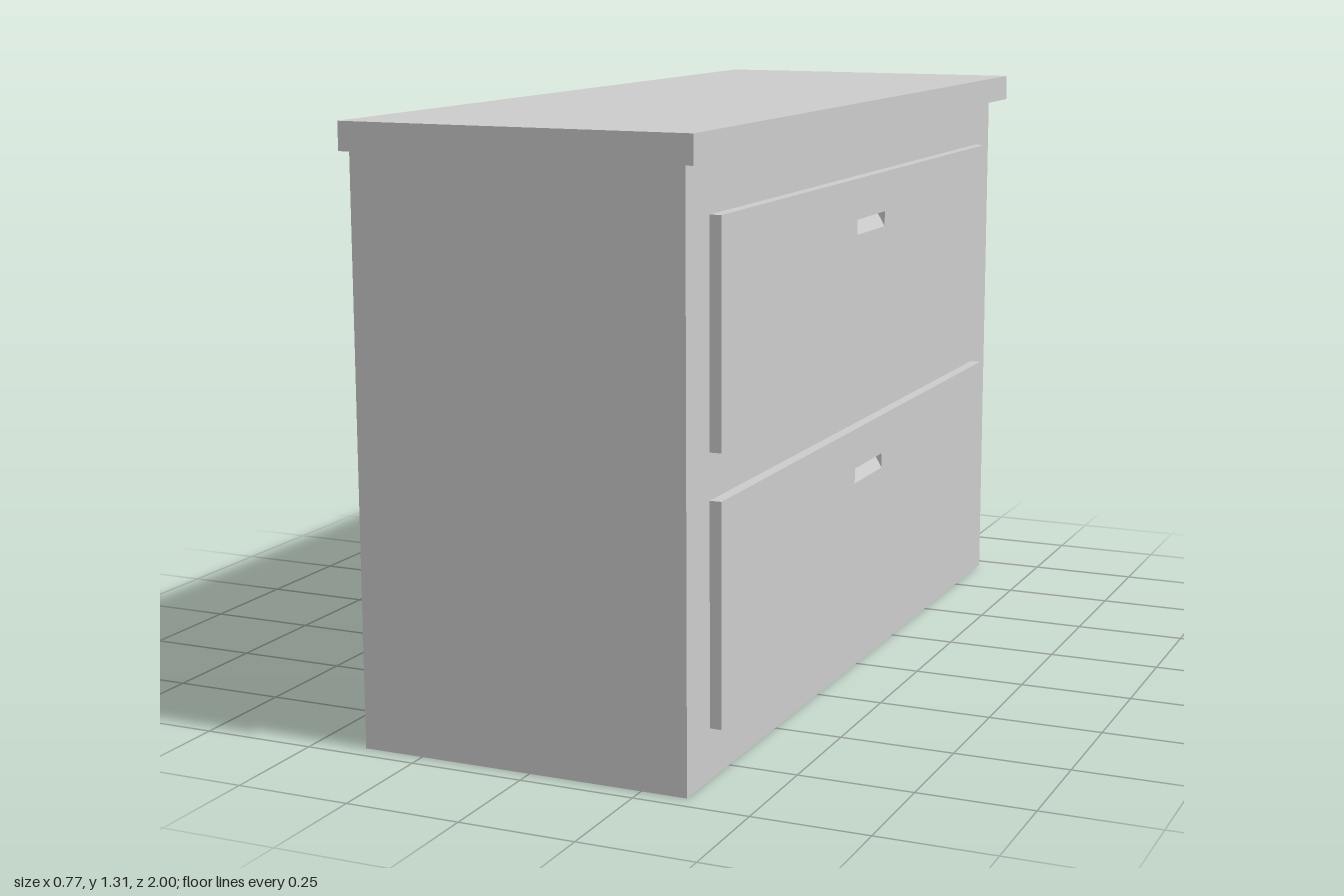
import * as THREE from 'three';

const paint = new THREE.MeshStandardMaterial({ color: 0xcccccc, side: THREE.DoubleSide });
paint.name = 'light grey';

function add(parent, name, geometry) {
  const mesh = new THREE.Mesh(geometry, paint);
  mesh.name = name;
  parent.add(mesh);
  return mesh;
}

// box given by its lower and upper limits
function box(x0, x1, y0, y1, z0, z1) {
  return new THREE.BoxGeometry(x1 - x0, y1 - y0, z1 - z0)
    .translate((x0 + x1) / 2, (y0 + y1) / 2, (z0 + z1) / 2);
}

function rectangle(PathType, w0, w1, h0, h1) {
  const path = new PathType();
  path.moveTo(w0, h0);
  path.lineTo(w1, h0);
  path.lineTo(w1, h1);
  path.lineTo(w0, h1);
  path.closePath();
  return path;
}

const BACK = -0.385, FACE = 0.35, FRONT = 0.375;

// drawer whose front panel has a shallow sloping finger pull; origin at its bottom edge
function makeDrawer(name, y) {
  const drawer = new THREE.Group();
  drawer.name = name;
  const height = 0.468, half = 0.848, pull = 0.09, low = 0.343, high = 0.377;

  // front panel with an opening for the pull
  const shape = rectangle(THREE.Shape, -half, half, 0, height);
  shape.holes.push(rectangle(THREE.Path, -pull, pull, low, high));
  const panel = new THREE.ExtrudeGeometry(shape, { depth: FRONT - FACE, bevelEnabled: false });
  add(drawer, 'drawerFront', panel.rotateY(Math.PI / 2).translate(FACE, 0, 0));

  // sloping floor of the pull
  const wedge = new THREE.Shape([
    new THREE.Vector2(FACE, low),
    new THREE.Vector2(FRONT, low),
    new THREE.Vector2(FACE + 0.005, high),
    new THREE.Vector2(FACE, high),
  ]);
  const slope = new THREE.ExtrudeGeometry(wedge, { depth: 2 * pull, bevelEnabled: false });
  add(drawer, 'fingerPull', slope.translate(0, 0, -pull));

  // drawer box running back into the cabinet
  add(drawer, 'drawerBox', box(BACK + 0.005, FACE + 0.001, 0, height, -half, half));

  drawer.position.y = y;
  return drawer;
}

export function createModel() {
  const model = new THREE.Group();
  model.name = 'drawerCabinet';

  // four thin cabinet walls, open at the bottom and closed above by the top
  const walls = box(BACK, FACE, 0, 1.25, -0.96, 0.96);
  const index = Array.from(walls.index.array);
  index.splice(12, 12);
  walls.setIndex(index);
  walls.clearGroups();
  add(model, 'cabinetWalls', walls);

  // overhanging top, flush at the back
  add(model, 'cabinetTop', box(BACK, 0.385, 1.25, 1.31, -1, 1));

  model.add(makeDrawer('lowerDrawer', 0.109), makeDrawer('upperDrawer', 0.674));
  return model;
}
